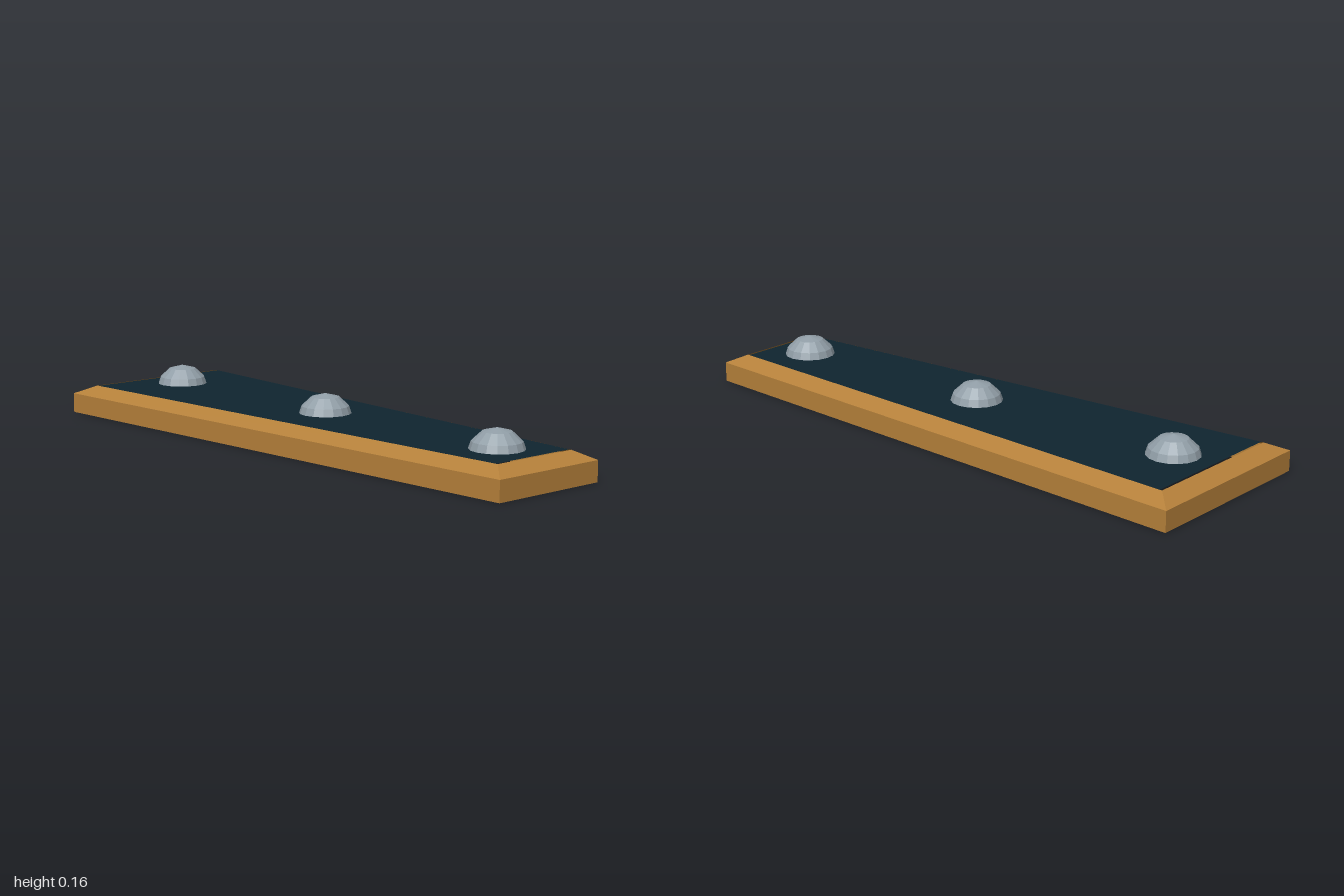
import * as THREE from 'three';

// Four corners of a tapered outline: half length, half widths at the -x and +x ends
const outline = (hx, wide, narrow, y) => [
  [-hx, y, wide], [hx, y, narrow], [hx, y, -narrow], [-hx, y, -wide],
];

// Flat-faced geometry from a list of quads
function quads(list) {
  const points = list.flatMap(([a, b, c, d]) => [a, b, c, a, c, d]).flat();
  const geometry = new THREE.BufferGeometry();
  geometry.setAttribute('position', new THREE.Float32BufferAttribute(points, 3));
  geometry.computeVertexNormals();
  return geometry;
}

// Band of quads joining two outlines
const band = (low, high) => quads(low.map((p, i) => {
  const j = (i + 1) % low.length;
  return [p, low[j], high[j], high[i]];
}));

function material(name, color) {
  const m = new THREE.MeshStandardMaterial({ color, side: THREE.DoubleSide, flatShading: true });
  m.name = name;
  return m;
}

export function createModel() {
  const model = new THREE.Group();
  model.name = 'taperedLightPanel';
  const wood = material('warmBrown', 0xb5803a);
  const dark = material('darkTeal', 0x0f2530);
  const grey = material('blueGrey', 0x919ea7);

  const add = (name, geometry, mat) => {
    const mesh = new THREE.Mesh(geometry, mat);
    mesh.name = name;
    model.add(mesh);
    return mesh;
  };

  // Open-bottomed frame: upright walls and sloping rim
  const base = outline(1, 0.33, 0.21, 0);
  const shoulder = outline(1, 0.33, 0.21, 0.068);
  const rim = outline(0.94, 0.268, 0.157, 0.097);
  add('frameWalls', band(base, shoulder), wood);
  add('frameBevel', band(shoulder, rim), wood);

  // Thin panel with a narrow gap at each end
  add('panel', quads([outline(0.932, 0.268, 0.157, 0.097)]), dark);

  // Faceted domes along the centre line
  const profile = [[0.087, 0], [0.079, 0.024], [0.047, 0.054], [0, 0.066]]
    .map(([r, y]) => new THREE.Vector2(r, y));
  const dome = new THREE.LatheGeometry(profile, 16);
  [-0.79, 0, 0.785].forEach((x, i) => {
    add(`dome${i + 1}`, dome, grey).position.set(x, 0.097, 0);
  });

  return model;
}
